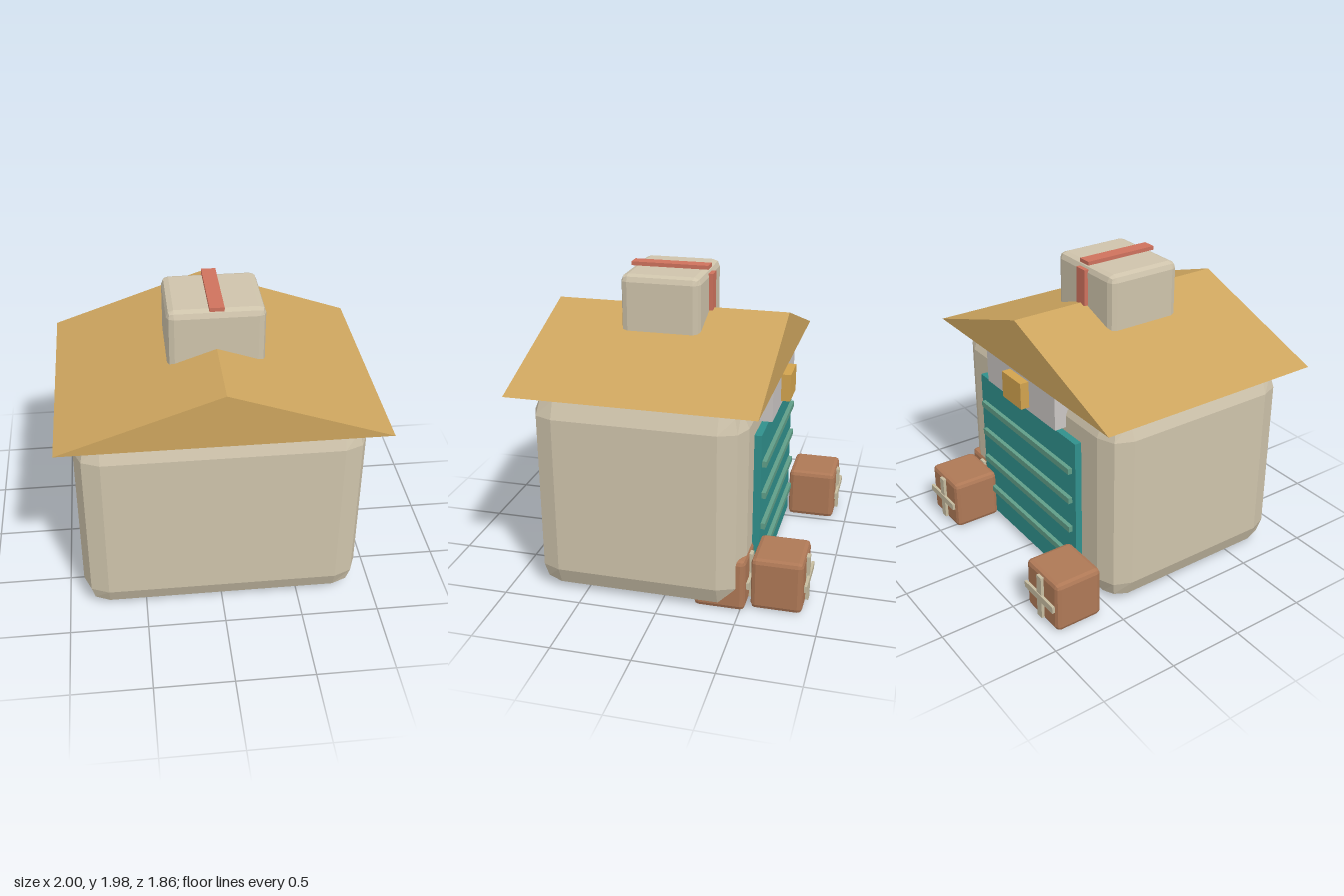
import * as THREE from 'three';
import { RoundedBoxGeometry } from 'three/addons/geometries/RoundedBoxGeometry.js';

const paint = (name, color) => {
  const m = new THREE.MeshStandardMaterial({ color });
  m.name = name;
  return m;
};

export function createModel() {
  const model = new THREE.Group();
  model.name = 'parcelDepot';

  const wall = paint('warm stone', 0xcec3ab);
  const roofGold = paint('ochre roof', 0xcda55e);
  const cardboard = paint('cardboard brown', 0xae7856);
  const strapTan = paint('pale strap', 0xc6bca0);
  const teal = paint('teal door', 0x30908c);
  const ribGreen = paint('green rib', 0x609e88);
  const signGrey = paint('light grey', 0xcbc6c4);
  const plateGold = paint('gold plate', 0xd2a34e);
  const tapeRed = paint('red tape', 0xce725d);

  const add = (name, geometry, material, parent = model) => {
    const mesh = new THREE.Mesh(geometry, material);
    mesh.name = name;
    parent.add(mesh);
    return mesh;
  };

  // Plain or faceted-bevel box given by its min and max along each axis
  const box = (name, material, [x0, x1], [y0, y1], [z0, z1], bevel = 0, parent = model) => {
    const size = [x1 - x0, y1 - y0, z1 - z0];
    const geometry = bevel
      ? new RoundedBoxGeometry(...size, 1, bevel)
      : new THREE.BoxGeometry(...size);
    if (bevel) geometry.computeVertexNormals(); // non-indexed, so facets stay flat
    const mesh = add(name, geometry, material, parent);
    mesh.position.set((x0 + x1) / 2, (y0 + y1) / 2, (z0 + z1) / 2);
    return mesh;
  };

  // Main building
  box('body', wall, [-0.9, 0.9], [0, 1.35], [-0.52, 0.83], 0.16);

  // Gabled roof
  const gable = new THREE.Shape([
    new THREE.Vector2(-1, 1.352),
    new THREE.Vector2(1, 1.352),
    new THREE.Vector2(0, 1.7),
  ]);
  add('roof', new THREE.ExtrudeGeometry(gable, { depth: 1.545, bevelEnabled: false }), roofGold)
    .position.z = -0.62;

  // Box on the roof with tape over its top and back
  box('roofBox', wall, [-0.3, 0.3], [1.45, 1.955], [-0.105, 0.41], 0.045);
  box('topTape', tapeRed, [-0.045, 0.045], [1.955, 1.98], [-0.1, 0.41]);
  box('backTape', tapeRed, [-0.045, 0.045], [1.69, 1.93], [-0.13, -0.1]);

  // Roller door with ribs
  box('door', teal, [-0.575, 0.575], [0.03, 1.08], [-0.565, -0.5]);
  for (let i = 0; i < 4; i++) {
    const y = 0.23 + i * 0.215;
    box('doorRib', ribGreen, [-0.537, 0.537], [y - 0.02, y + 0.02], [-0.592, -0.56]);
  }

  // Blank sign board with a gold plate
  box('signBoard', signGrey, [-0.41, 0.41], [1.11, 1.345], [-0.6, -0.5]);
  box('signPlate', plateGold, [-0.112, 0.112], [1.14, 1.32], [-0.66, -0.595]);

  // Parcels with crossed straps on the back
  const parcel = (x, back) => {
    const group = new THREE.Group();
    group.name = 'parcel';
    group.position.set(x, 0, back);
    model.add(group);
    box('parcelBox', cardboard, [-0.177, 0.177], [0.003, 0.35], [0, 0.325], 0.03, group);
    box('verticalStrap', strapTan, [-0.026, 0.026], [0.025, 0.33], [-0.02, 0.002], 0, group);
    box('horizontalStrap', strapTan, [-0.16, 0.16], [0.155, 0.2], [-0.026, -0.008], 0, group);
  };
  parcel(-0.7, -0.905);
  parcel(0.625, -0.882);
  parcel(0.675, -0.53);

  return model;
}
